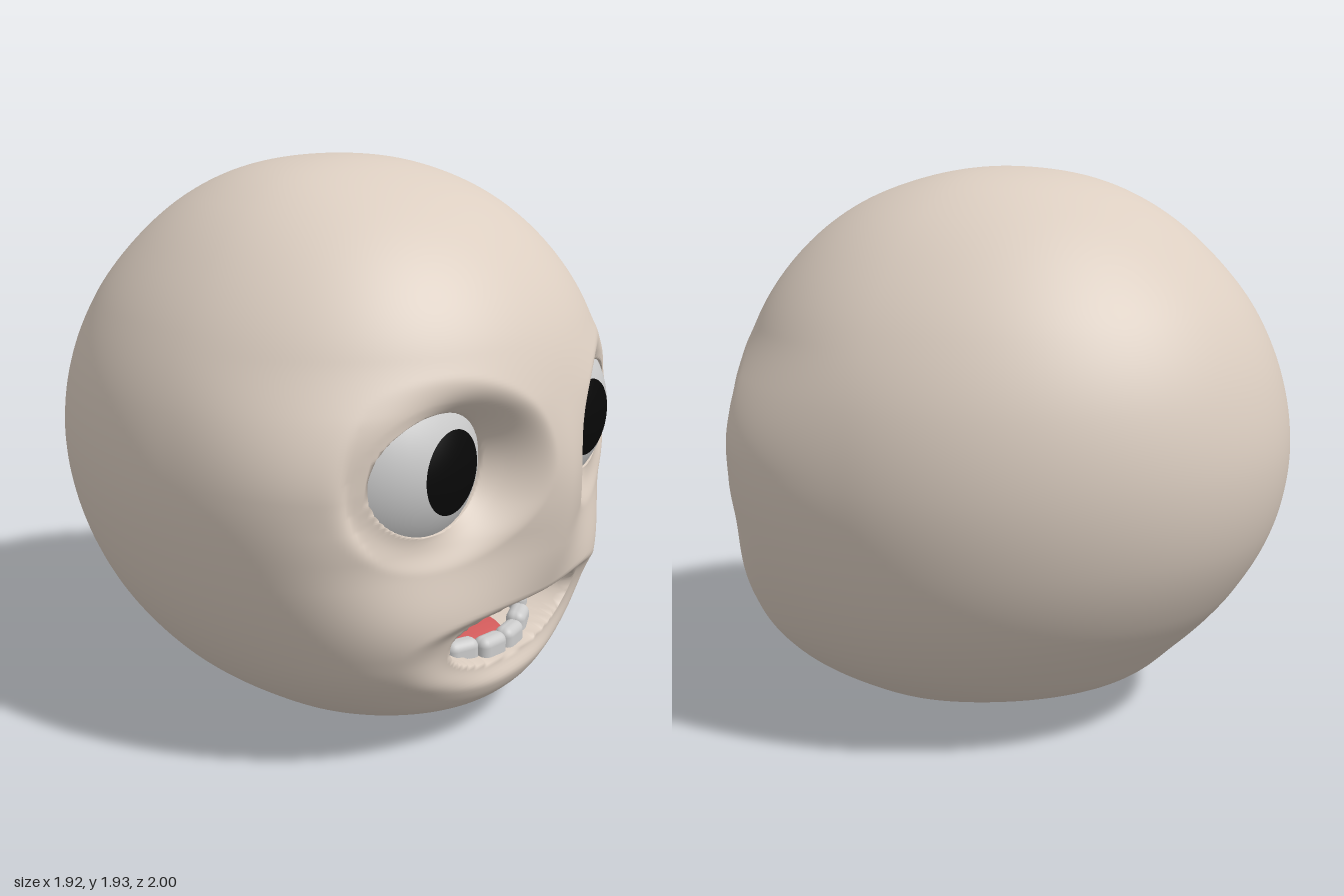
import * as THREE from 'three';
import { RoundedBoxGeometry } from 'three/addons/geometries/RoundedBoxGeometry.js';

const { smoothstep, lerp, clamp } = THREE.MathUtils;
const material = (color) => new THREE.MeshStandardMaterial({ color });

const EYE = { x: 0.415, y: 1.04, z: 0.475, r: 0.36 };
const SOCKET = { x: 0.46, y: 1.035, rx: 0.24, ry: 0.195 };

// Head outline at 15 degree steps from chin to crown: half width, front z, back z
const outline = new THREE.CatmullRomCurve3([
  [0, 0.18, 0.18], [0.295, 0.42, -0.06], [0.505, 0.73, -0.45], [0.7, 0.83, -0.65],
  [0.84, 0.895, -0.83], [0.925, 0.965, -0.955], [0.96, 0.998, -1], [0.93, 0.96, -0.965],
  [0.835, 0.88, -0.865], [0.69, 0.735, -0.7], [0.51, 0.535, -0.5], [0.29, 0.28, -0.26],
  [0, 0.03, 0.03],
].map((p) => new THREE.Vector3(...p)), false, 'catmullrom', 0.5);

// Depth of the eyeball surface at a point on the face
function eyeballZ(x, y) {
  const d = Math.min(Math.hypot(x - EYE.x, y - EYE.y), 0.345);
  return EYE.z + Math.sqrt(EYE.r ** 2 - d * d);
}

// Sinks the eye sockets and the mouth into the face
function carve(x, y, z) {
  const side = Math.sign(x);
  let ax = Math.abs(x);
  let e = Math.hypot((ax - SOCKET.x) / SOCKET.rx, (y - SOCKET.y) / SOCKET.ry);
  if (Math.abs(e - 1) < 0.14) {
    // Gather vertices along the eyelid for a clean edge
    const to = 1 + ((e - 1) * Math.abs(e - 1)) / 0.14;
    ax = SOCKET.x + ((ax - SOCKET.x) * to) / e;
    y = SOCKET.y + ((y - SOCKET.y) * to) / e;
    e = to;
  }
  if (e < 1) z = eyeballZ(ax, y) + 0.008 - Math.min(0.12, 3 * (1 - e));
  else if (e < 1.6) z = lerp(eyeballZ(ax, y) + 0.008, z, 1 - (1 - (e - 1) / 0.6) ** 2);

  const up = y > 0.44;
  const n = up ? 2.6 : 2;
  const m = ((ax / 0.365) ** n + (Math.abs(y - 0.44) / (up ? 0.077 : 0.14)) ** n) ** (1 / n);
  z -= 0.38 * (1 - smoothstep(m, 0.89, 1.03)) + 0.045 * (1 - smoothstep(m, 1, 1.6));
  return [side * ax, y, z];
}

function headGeometry() {
  const rows = 220, cols = 240;
  const pos = [], index = [], p = new THREE.Vector3();
  for (let i = 0; i <= rows; i++) {
    // Rows and columns crowd together around the face
    const v = i / rows;
    const t = Math.PI * v + 0.3 * Math.sin(2 * Math.PI * v);
    outline.getPoint(clamp(t / Math.PI, 0, 1), p);
    const y = 0.965 * (1 - Math.cos(t));
    const w = Math.max(p.x, 0);
    const mid = (p.y + p.z) / 2 + 0.08 * Math.sin(t);
    // Broad cheeks, with a soft ridge between them at nose height
    const cheeks = smoothstep(y, 0, 0.4) * (1 - smoothstep(y, 1, 1.4));
    const nose = smoothstep(y, 0.45, 0.8) * (1 - smoothstep(y, 0.9, 1.25));
    for (let j = 0; j < cols; j++) {
      const u = (2 * j) / cols - 1;
      const a = Math.PI / 2 + Math.PI * (0.35 * u + 0.65 * u ** 3);
      const c = Math.cos(a), s = Math.sin(a);
      const n = s > 0 ? 2 + 0.6 * cheeks : 1.95;
      const r = (Math.abs(c) ** n + Math.abs(s) ** n) ** (-1 / n);
      const x = w * r * c;
      if (s > 0) {
        const q = Math.abs(r * c);
        const ridge = 1 - 0.14 * nose * Math.sin((Math.PI * 1.12 * q * q) / (q + 0.12));
        const z = mid + (p.y - mid) * r * s * ridge;
        pos.push(...(s > 0.2 ? carve(x, y, z) : [x, y, z]));
      } else {
        pos.push(x, y, mid + (mid - p.z) * r * s);
      }
      if (i < rows) {
        const k = i * cols + j, l = i * cols + ((j + 1) % cols);
        index.push(k, k + cols, l, l, k + cols, l + cols);
      }
    }
  }
  const g = new THREE.BufferGeometry();
  g.setAttribute('position', new THREE.Float32BufferAttribute(pos, 3));
  g.setIndex(index);
  g.computeVertexNormals();
  return g;
}

export function createModel() {
  const model = new THREE.Group();
  const add = (name, geometry, mat, x = 0, y = 0, z = 0, parent = model) => {
    const mesh = new THREE.Mesh(geometry, mat);
    mesh.name = name;
    mesh.position.set(x, y, z);
    parent.add(mesh);
    return mesh;
  };
  const grey = material(0xcccccc);
  const black = material(0x080808);

  add('head', headGeometry(), material(0xdccec1));

  // Eyes
  const ball = new THREE.SphereGeometry(EYE.r, 48, 32);
  const cap = new THREE.SphereGeometry(EYE.r + 0.003, 48, 10, 0, Math.PI * 2, 0, 0.383);
  cap.rotateX(Math.PI / 2);
  for (const [side, sx] of [['left', 1], ['right', -1]]) {
    add(`${side}Eyeball`, ball, grey, sx * EYE.x, EYE.y, EYE.z);
    add(`${side}Pupil`, cap, black, sx * EYE.x, EYE.y, EYE.z);
  }

  // Teeth follow a curved dental arch; each entry is [centre x, width]
  const places = [[0.06, 0.12], [0.178, 0.118], [0.282, 0.1]];
  const teeth = (name, y, rise) => {
    const row = new THREE.Group();
    row.name = name;
    for (const [x, width] of places) {
      const geometry = new RoundedBoxGeometry(width * 1.04, 0.12, 0.07, 3, 0.03);
      for (const sx of [1, -1]) {
        const tooth = add('tooth', geometry, grey, sx * x, y + rise * x * x, 0.745 - 1.4 * x * x, row);
        tooth.rotation.y = sx * Math.atan(2.2 * x);
      }
    }
    model.add(row);
  };
  teeth('upperTeeth', 0.507, 0.1);
  teeth('lowerTeeth', 0.302, 0.4);

  // Tongue
  const tongue = add('tongue', new THREE.SphereGeometry(1, 32, 20), material(0xd05a5a), 0, 0.305, 0.54);
  tongue.scale.set(0.17, 0.052, 0.19);

  return model;
}
